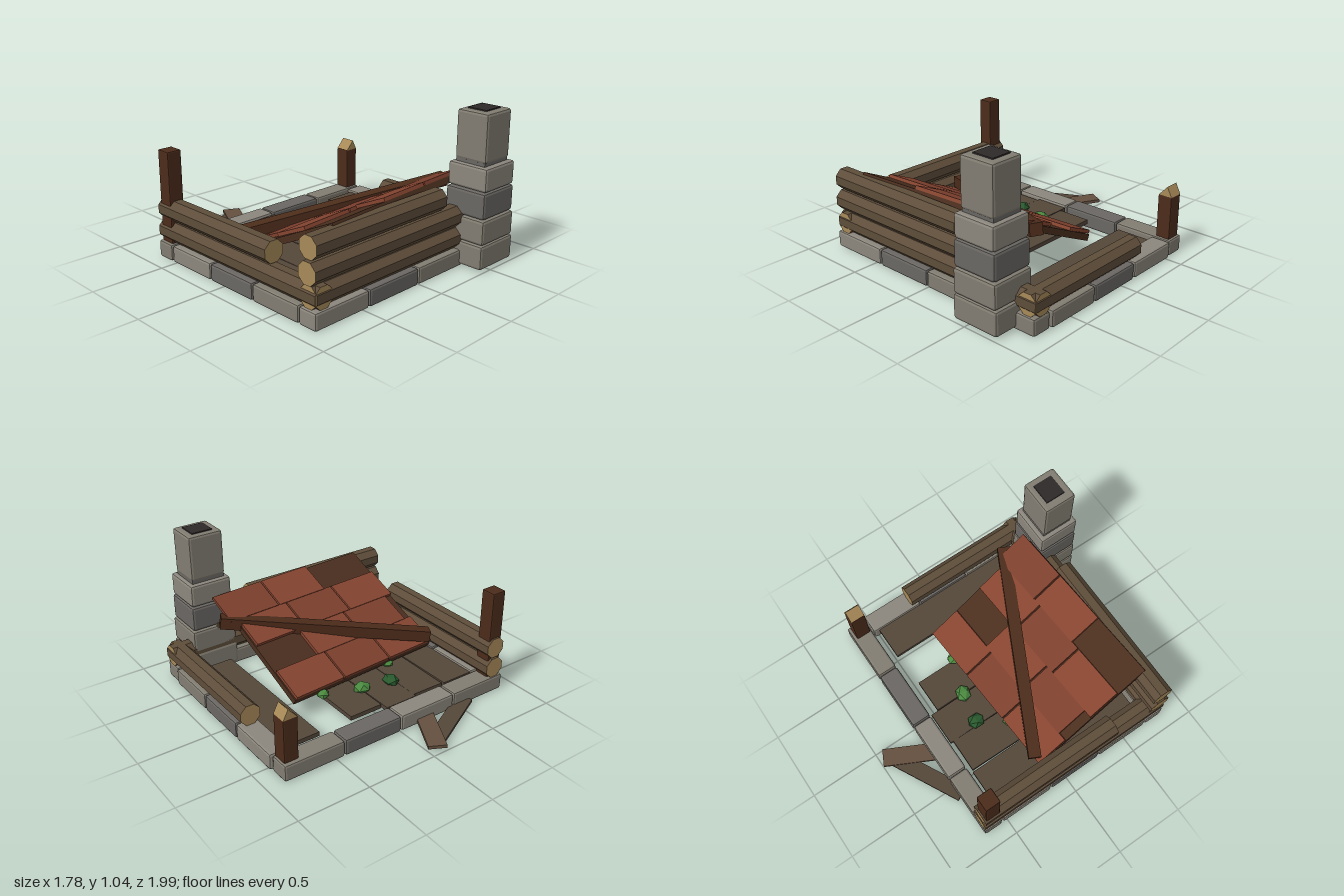
import * as THREE from 'three';
import { RoundedBoxGeometry } from 'three/addons/geometries/RoundedBoxGeometry.js';

const mat = (color) => new THREE.MeshStandardMaterial({ color, flatShading: true });
const M = {
  stone: mat(0x827d72), stoneDark: mat(0x6a6763), stoneLight: mat(0x8c877d),
  log: mat(0x5e4d3a), cut: mat(0xa88a58), post: mat(0x4c2c1b),
  plank: mat(0x54473a), debris: mat(0x64503f), deck: mat(0x4a2e1e),
  tileA: mat(0x854430), tileB: mat(0x7c3f2d), soot: mat(0x2e2a29),
  leaf: mat(0x4b8a40), leafDark: mat(0x2a5a2e),
};

export function createModel() {
  const root = new THREE.Group();

  const add = (name, geo, material, x, y, z, parent = root) => {
    const m = new THREE.Mesh(geo, material);
    m.name = name;
    m.position.set(x, y, z);
    parent.add(m);
    return m;
  };
  const box = (name, material, w, h, d, x, y, z, parent) =>
    add(name, new THREE.BoxGeometry(w, h, d), material, x, y, z, parent);
  // Chamfered block given by its min and max corners
  const block = (name, material, x0, x1, y0, y1, z0, z1, r = 0.015) =>
    add(name, new RoundedBoxGeometry(x1 - x0, y1 - y0, z1 - z0, 1, r), material,
      (x0 + x1) / 2, (y0 + y1) / 2, (z0 + z1) / 2);
  // Box laid between two points
  const bar = (name, material, a, b, w, h) => {
    const A = new THREE.Vector3(...a), B = new THREE.Vector3(...b);
    const mid = A.clone().add(B).multiplyScalar(0.5);
    const m = box(name, material, w, h, A.distanceTo(B), mid.x, mid.y, mid.z);
    m.lookAt(B);
    return m;
  };

  // Foundation stones
  const stones = [M.stone, M.stoneLight, M.stoneDark, M.stone];
  for (let i = 0; i < 4; i++) {
    const x = -0.89 + i * 0.4438;
    block('frontFoundationStone', stones[(i + 1) % 4], x, x + 0.436, 0.005, 0.12, 0.685, 0.825);
    block('backFoundationStone', stones[i], x, x + 0.436, 0.005, 0.12, -0.68, -0.54);
  }
  for (const s of [-1, 1]) {
    for (let i = 0; i < 3; i++) {
      const z = -0.53 + i * 0.405;
      block('sideFoundationStone', [M.stoneLight, M.stoneDark, M.stone][i],
        s * 0.817 - 0.072, s * 0.817 + 0.072, 0.005, 0.12, z, z + 0.397);
    }
  }

  // Chimney, narrowing upwards, with a sooty flue
  const chimney = [
    [0.40, 0.742, 0.02, 0.183, 0.675, 0.99, M.stone],
    [0.405, 0.735, 0.187, 0.352, 0.68, 0.99, M.stone],
    [0.41, 0.727, 0.357, 0.532, 0.685, 0.985, M.stoneDark],
    [0.417, 0.722, 0.537, 0.695, 0.69, 0.985, M.stoneLight],
    [0.442, 0.695, 0.713, 1.035, 0.72, 0.955, M.stone],
  ];
  chimney.forEach(([x0, x1, y0, y1, z0, z1, m]) =>
    block('chimneyBlock', m, x0, x1, y0, y1, z0, z1, 0.018));
  box('chimneyCore', M.stoneDark, 0.24, 0.66, 0.22, 0.57, 0.4, 0.835);
  box('chimneyFlue', M.soot, 0.15, 0.02, 0.14, 0.571, 1.033, 0.832);

  // Octagonal wall logs with pale cut ends
  const R = 0.07 / Math.cos(Math.PI / 8);
  const log = (name, alongX, from, to, y, offset) => {
    const geo = new THREE.CylinderGeometry(R, R, to - from, 8);
    geo.rotateY(Math.PI / 8);
    if (alongX) geo.rotateZ(Math.PI / 2); else geo.rotateX(Math.PI / 2);
    const mid = (from + to) / 2;
    add(name, geo, [M.log, M.cut, M.cut], alongX ? mid : offset, y, alongX ? offset : mid);
  };
  log('frontLog', true, -0.875, 0.88, 0.193, 0.75);
  log('frontLog', true, -0.885, 0.55, 0.338, 0.75);
  log('frontLog', true, -0.875, 0.25, 0.49, 0.75);
  log('rightWallLog', false, -0.675, 0.815, 0.193, -0.815);
  log('rightWallLog', false, -0.67, 0.4, 0.342, -0.815);
  log('leftWallLog', false, -0.195, 0.815, 0.193, 0.815);

  // Corner posts, the short one snapped off to a ridge
  block('tallPost', M.post, -0.873, -0.768, 0.12, 0.748, -0.657, -0.55, 0.008);
  block('brokenPost', M.post, 0.763, 0.865, 0.12, 0.425, -0.657, -0.55, 0.008);
  const ridge = new THREE.Shape([[0.765, 0.42], [0.864, 0.42], [0.828, 0.49]]
    .map((p) => new THREE.Vector2(...p)));
  add('brokenPostTip', new THREE.ExtrudeGeometry(ridge, { depth: 0.104, bevelEnabled: false }),
    M.cut, 0, 0, -0.656);

  // Floor planks with one missing
  const planks = [[-0.627, -0.52, 0.665], [-0.378, -0.51, 0.62], [-0.127, -0.53, 0.65],
    [0.123, -0.475, 0.6], [0.622, -0.49, 0.605]];
  planks.forEach(([x, z0, z1], i) => {
    const p = box('floorPlank', M.plank, 0.243, 0.03, z1 - z0, x, 0.09, (z0 + z1) / 2);
    if (i === 1) p.rotation.y = -0.015;
  });

  // Collapsed roof: a deck carrying staggered tiles, two of them lost
  const roof = new THREE.Group();
  roof.name = 'collapsedRoof';
  roof.position.set(-0.1, 0.371, 0.275);
  roof.rotation.set(-0.447, 0.061, 0, 'YXZ');
  root.add(roof);
  const W = 1.21, L = 0.948, rowL = L / 4;
  box('roofDeck', M.deck, W, 0.045, L, 0, -0.0225, 0, roof);
  for (let row = 0; row < 4; row++) {
    for (let col = 0; col < 3; col++) {
      if ((row === 1 && col === 2) || (row === 3 && col === 0)) continue;
      const x = -W / 2 + (col + 0.5) * 0.403 + (row % 2) * 0.06;
      const z = -L / 2 + (row + 0.5) * rowL;
      const t = box('roofTile', (row + col) % 2 ? M.tileB : M.tileA,
        0.391, 0.024, rowL + 0.004, x, 0.014, z, roof);
      t.rotation.x = 0.02;
    }
  }
  bar('fallenBeam', M.post, [-0.69, 0.25, -0.14], [0.615, 0.485, 0.508], 0.085, 0.08);

  // Loose boards behind the ruin
  bar('looseBoard', M.plank, [-0.572, 0.024, -0.654], [-0.09, 0.024, -0.905], 0.113, 0.02);
  bar('looseBoard', M.debris, [-0.235, 0.033, -0.62], [-0.055, 0.033, -0.97], 0.122, 0.022);

  // Small faceted plants on the floor
  const plants = [[-0.22, -0.3, 0.055, M.leafDark], [-0.005, -0.262, 0.055, M.leaf],
    [0.25, -0.17, 0.045, M.leaf], [-0.34, -0.11, 0.04, M.leaf]];
  plants.forEach(([x, z, r, m], i) => {
    const p = add('plant', new THREE.IcosahedronGeometry(r, 0), m, x, 0.122, z);
    p.scale.set(1, 0.72, 1.2);
    p.rotation.y = i * 1.3;
  });

  return root;
}
